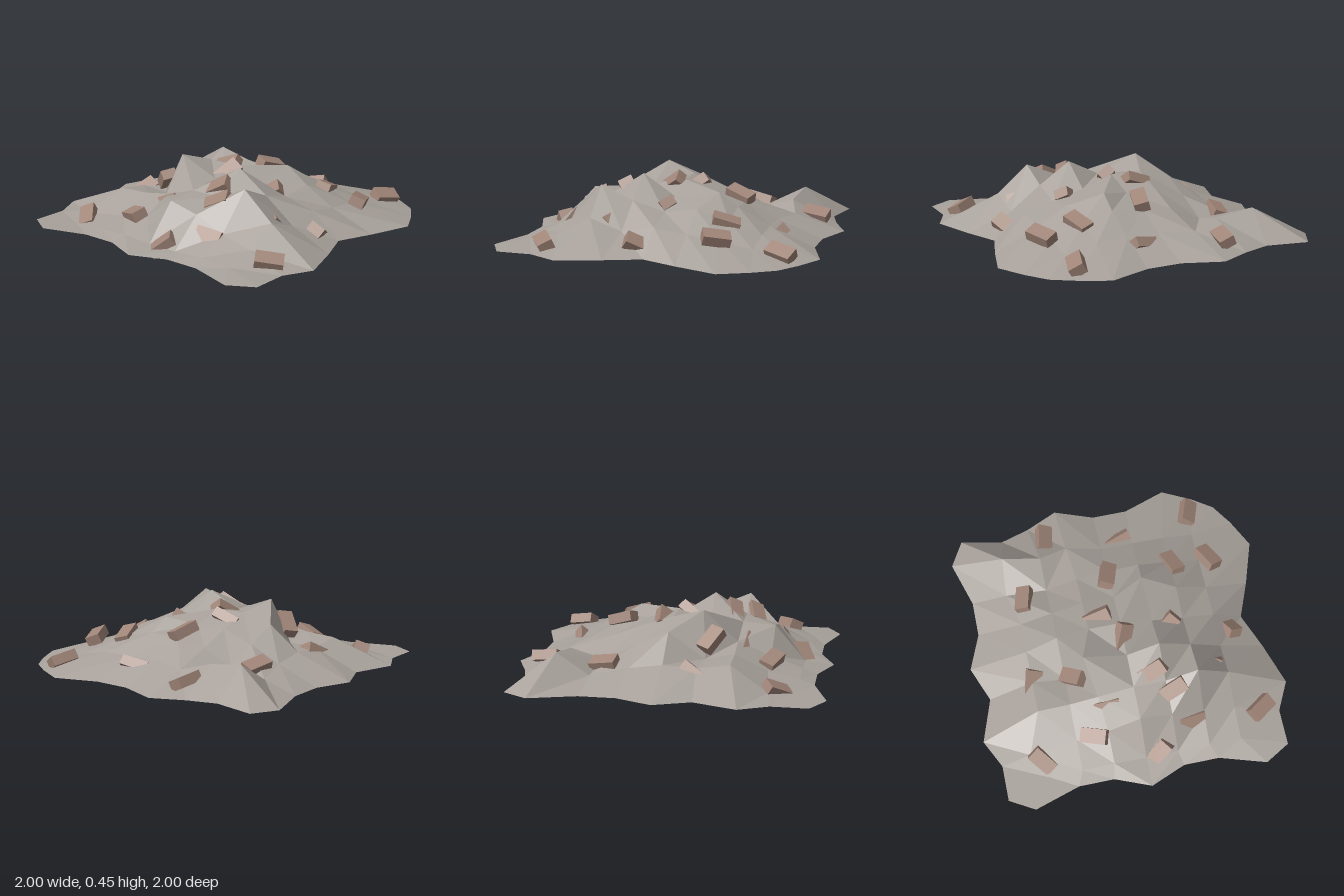
import * as THREE from 'three';

const STEP = 0.2273; // ground grid spacing
const BASE = 0.07;   // height of the outer rim
const COLS = 8, ROWS = 9;

// Grid z of each row, with one extra narrow row at the foot of the front slope
const ROW_Z = [-4, -3, -2, -1, 0, 1, 2, 3, 3.95, 4].map((n) => n * STEP);

// Inner ground heights, rows from back to front, columns from -x to +x
const HEIGHTS = [
  [0.26, 0.22, 0.17, 0.18, 0.18, 0.17, 0.13],
  [0.13, 0.16, 0.25, 0.28, 0.29, 0.24, 0.17],
  [0.17, 0.26, 0.33, 0.33, 0.37, 0.30, 0.19],
  [0.20, 0.35, 0.40, 0.40, 0.33, 0.27, 0.22],
  [0.19, 0.19, 0.465, 0.36, 0.465, 0.33, 0.18],
  [0.22, 0.23, 0.26, 0.33, 0.33, 0.42, 0.25],
  [0.09, 0.13, 0.17, 0.315, 0.27, 0.19, 0.14],
  [0.07, 0.09, 0.10, 0.09, 0.09, 0.10, 0.09],
];

// In and out scaling of the rim points, giving the wavy outline
const RIM = {
  back: [1, 0.94, 1, 1.1, 1, 1, 1.1, 1, 0.9],
  front: [1, 1.1, 1, 1, 1.1, 1, 1, 1.1, 1],
  left: [0.9, 1, 1.1, 1, 0.9, 1, 1.1, 1, 1, 1],
  right: [1, 1.1, 1, 1, 1.1, 1, 1.1, 1, 1, 1],
};

// Inner points pushed away from the regular grid, keyed by column,row
const SHIFTED = {
  '1,1': [-0.66, -0.65], '1,2': [-0.68, -0.44], '3,1': [-0.23, -0.68],
  '5,3': [0.2, -0.29], '3,5': [-0.28, 0.2], '2,5': [-0.41, 0.23],
  '3,6': [-0.23, 0.41], '1,7': [-0.72, 0.65],
};

function groundPoint(i, j) {
  const gx = (i - COLS / 2) * STEP, gz = ROW_Z[j];
  let k = null;
  if (j === 0) k = RIM.back[i];
  else if (j === ROWS) k = RIM.front[i];
  else if (i === COLS) k = RIM.left[j];
  else if (i === 0) k = RIM.right[j];
  if (k !== null) return [gx * k, BASE, gz * k];
  const [x, z] = SHIFTED[`${i},${j}`] || [gx * 0.91, gz * 0.91];
  return [x, HEIGHTS[j - 1][i - 1], z];
}

// Faceted open mound; the cell diagonals mirror across the middle
function makeGround() {
  const verts = [];
  for (let j = 0; j < ROWS; j++) {
    for (let i = 0; i < COLS; i++) {
      const a = groundPoint(i, j), b = groundPoint(i, j + 1);
      const c = groundPoint(i + 1, j + 1), d = groundPoint(i + 1, j);
      const ridgeCell = i === 2 && j === 1;
      if (i < COLS / 2 && !ridgeCell) verts.push(...a, ...b, ...c, ...a, ...c, ...d);
      else verts.push(...a, ...b, ...d, ...b, ...c, ...d);
    }
  }
  const geo = new THREE.BufferGeometry();
  geo.setAttribute('position', new THREE.Float32BufferAttribute(verts, 3));
  geo.computeVertexNormals();
  const mesh = new THREE.Mesh(geo, new THREE.MeshStandardMaterial({
    color: 0xa8a19b, flatShading: true, side: THREE.DoubleSide,
  }));
  mesh.name = 'rubbleMound';
  return mesh;
}

// Bricks lying on the surface: x, y, z, yaw, tilt, roll (degrees)
const LOOSE = [
  [-0.36, 0.145, -0.79, 78, -8, 25],
  [0.63, 0.125, -0.79, 65, -12, 30],
  [0.43, 0.24, -0.40, -75, 18, -15],
  [0.68, 0.20, -0.41, -68, 10, -22],
  [-0.57, 0.18, -0.37, 80, -10, -20],
  [-0.01, 0.32, -0.37, 68, -18, 15],
  [-0.36, 0.30, 0.26, -30, 38, 10],
  [0.14, 0.36, 0.34, 28, 32, 25],
  [0.25, 0.32, 0.47, 28, 28, 25],
  [-0.30, 0.165, 0.63, -18, 14, 18],
  [-0.65, 0.09, 0.70, -58, -25, 20],
  [0.79, 0.12, 0.65, 32, -8, 25],
  [0.09, 0.10, 0.80, 38, 38, 10],
];

// Bricks mostly sunk into the mound with a corner showing
const SUNKEN = [
  [0.13, 0.135, -0.67, 25, 15, 40],
  [-0.13, 0.36, -0.08, 20, 25, 35],
  [0.00, 0.37, 0.08, 90, 40, 35],
  [0.30, 0.28, 0.03, 45, 35, 25],
  [0.71, 0.13, 0.07, -80, 30, -30],
  [-0.62, 0.16, 0.20, 80, 30, 25],
  [0.52, 0.225, 0.28, 165, 20, 45],
  [-0.17, 0.22, 0.47, 15, 30, 40],
  [0.33, 0.16, 0.65, 0, -10, 50],
];

function scatter(list, name, geometry, material) {
  const group = new THREE.Group();
  group.name = name + 's';
  const rad = THREE.MathUtils.degToRad;
  for (const [x, y, z, yaw, tilt, roll] of list) {
    const mesh = new THREE.Mesh(geometry, material);
    mesh.name = name;
    mesh.position.set(x, y, z);
    mesh.rotation.set(rad(roll), rad(yaw), rad(tilt), 'YXZ');
    group.add(mesh);
  }
  return group;
}

export function createModel() {
  const model = new THREE.Group();
  model.name = 'rubblePile';
  const brick = new THREE.BoxGeometry(0.17, 0.065, 0.095);
  const clay = new THREE.MeshStandardMaterial({ color: 0xa08578, flatShading: true });
  model.add(makeGround());
  model.add(scatter(LOOSE, 'looseBrick', brick, clay));
  model.add(scatter(SUNKEN, 'sunkenBrick', brick, clay));
  return model;
}
